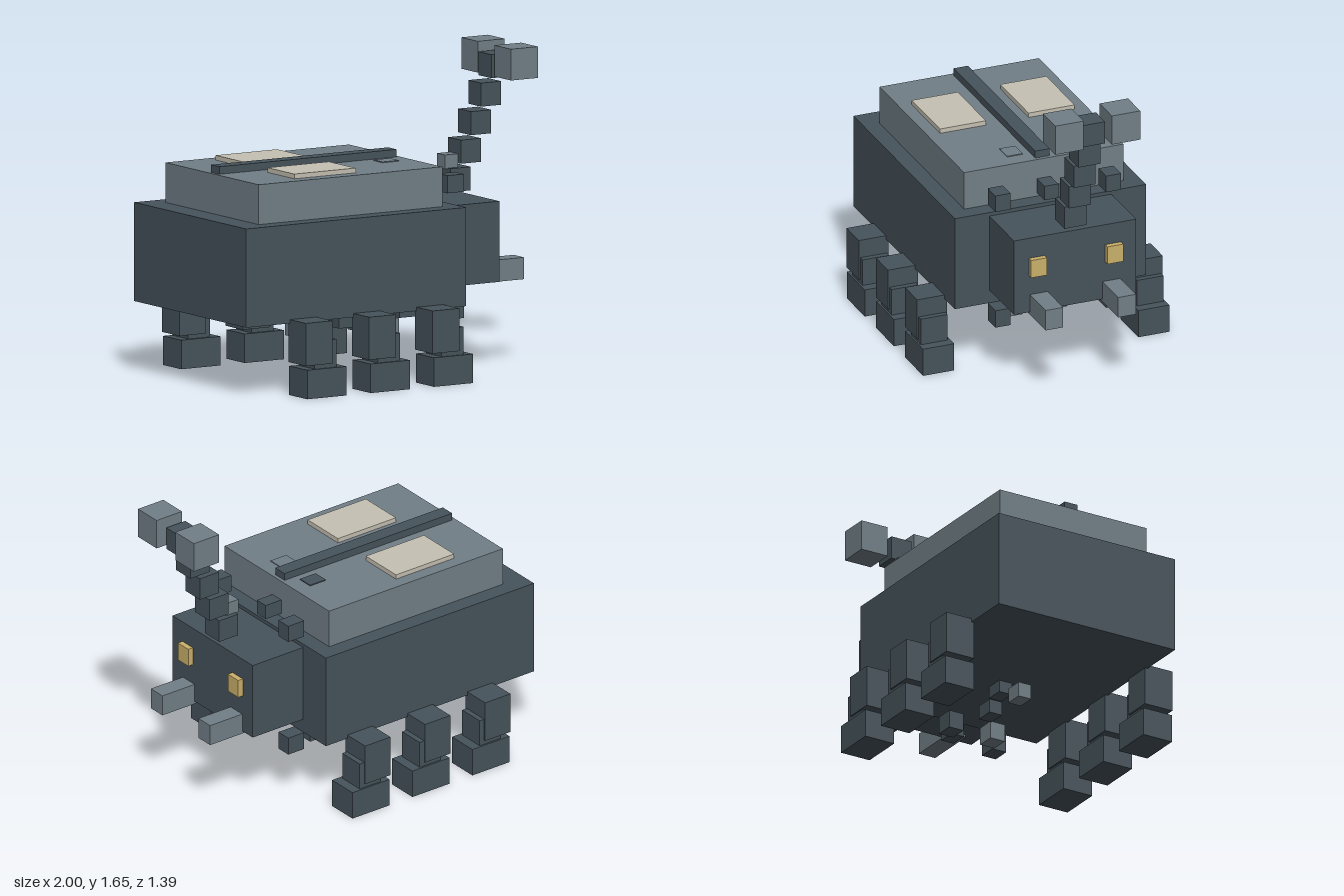
import * as THREE from 'three';

export function createModel() {
  const model = new THREE.Group();
  model.name = 'blockBeetle';
  const mat = (name, color) => {
    const m = new THREE.MeshStandardMaterial({ color });
    m.name = name;
    return m;
  };
  const dark = mat('darkSlate', 0x46535b);
  const light = mat('lightSlate', 0x727f87);
  const cream = mat('cream', 0xc5c0b2);
  const gold = mat('gold', 0xcab06a);

  // Box from its lower and upper corner on each axis
  function box(name, material, x0, x1, y0, y1, z0, z1, parent = model) {
    const mesh = new THREE.Mesh(new THREE.BoxGeometry(x1 - x0, y1 - y0, z1 - z0), material);
    mesh.position.set((x0 + x1) / 2, (y0 + y1) / 2, (z0 + z1) / 2);
    mesh.name = name;
    parent.add(mesh);
    return mesh;
  }
  // The same box on both sides of the body
  function pair(name, material, x0, x1, y0, y1, z0, z1, parent = model) {
    box(name + 'Left', material, x0, x1, y0, y1, -z1, -z0, parent);
    box(name + 'Right', material, x0, x1, y0, y1, z0, z1, parent);
  }

  // Body, shell and head
  box('body', dark, -1, 0.36, 0.38, 0.9, -0.54, 0.54);
  box('shell', light, -0.865, 0.27, 0.9, 1.11, -0.45, 0.45);
  box('shellRidge', dark, -0.845, 0.25, 1.1, 1.15, -0.04, 0.04);
  pair('shellPanel', cream, -0.6, -0.22, 1.105, 1.135, 0.12, 0.38);
  box('head', dark, 0.36, 0.69, 0.455, 0.88, -0.345, 0.345);
  pair('eye', gold, 0.68, 0.72, 0.665, 0.765, 0.17, 0.26);
  pair('mandible', light, 0.6, 0.9, 0.44, 0.555, 0.155, 0.255);

  // Horn: a rising chain of cubes with a forked tip
  const horn = new THREE.Group();
  horn.name = 'horn';
  model.add(horn);
  for (let i = 0; i < 5; i++) {
    const x = 0.57 + i * 0.063, y = 0.9 + i * 0.145;
    box('hornSegment' + (i + 1), dark, x, x + 0.124, y, y + 0.124, -0.062, 0.062, horn);
  }
  pair('hornTip', light, 0.83, 0.995, 1.49, 1.655, 0.08, 0.24, horn);
  box('hornSpur', light, 0.55, 0.63, 1.02, 1.095, -0.038, 0.038, horn);

  // Legs: upper block, shin and foot, three on each side
  for (let i = 0; i < 3; i++) {
    const x = -0.73 + i * 0.392;
    const legs = new THREE.Group();
    legs.name = 'legPair' + (i + 1);
    model.add(legs);
    pair('upperLeg', dark, x, x + 0.165, 0.175, 0.4, 0.525, 0.693, legs);
    pair('shin', dark, x + 0.06, x + 0.195, 0.15, 0.3, 0.535, 0.685, legs);
    pair('foot', dark, x + 0.008, x + 0.25, 0, 0.153, 0.52, 0.695, legs);
  }

  // Small blocks around the neck and on the shell
  box('neckBlock', dark, 0.27, 0.372, 0.92, 1, -0.038, 0.038);
  pair('collarBlock', dark, 0.362, 0.465, 0.95, 1.043, 0.27, 0.355);
  box('shellStudLeft', dark, 0.08, 0.182, 1.02, 1.115, -0.17, -0.083);
  box('shellStudRight', light, 0.08, 0.182, 1.02, 1.115, 0.083, 0.17);

  // Small blocks hanging under the belly
  box('bellyFrontBlock', dark, 0.27, 0.372, 0.26, 0.335, -0.038, 0.038);
  pair('bellyCollarBlock', dark, 0.362, 0.465, 0.285, 0.382, 0.27, 0.355);
  box('bellyStudLeft', dark, 0.08, 0.182, 0.19, 0.286, -0.17, -0.083);
  box('bellyStudRight', light, 0.08, 0.182, 0.19, 0.286, 0.083, 0.17);
  box('bellyMiddleBlock', dark, -0.105, 0, 0.235, 0.31, -0.038, 0.038);
  box('bellyUpperBlock', dark, -0.2, -0.1, 0.315, 0.39, -0.038, 0.038);
  box('bellyRearBlock', light, -0.39, -0.288, 0.215, 0.295, -0.038, 0.038);

  return model;
}
